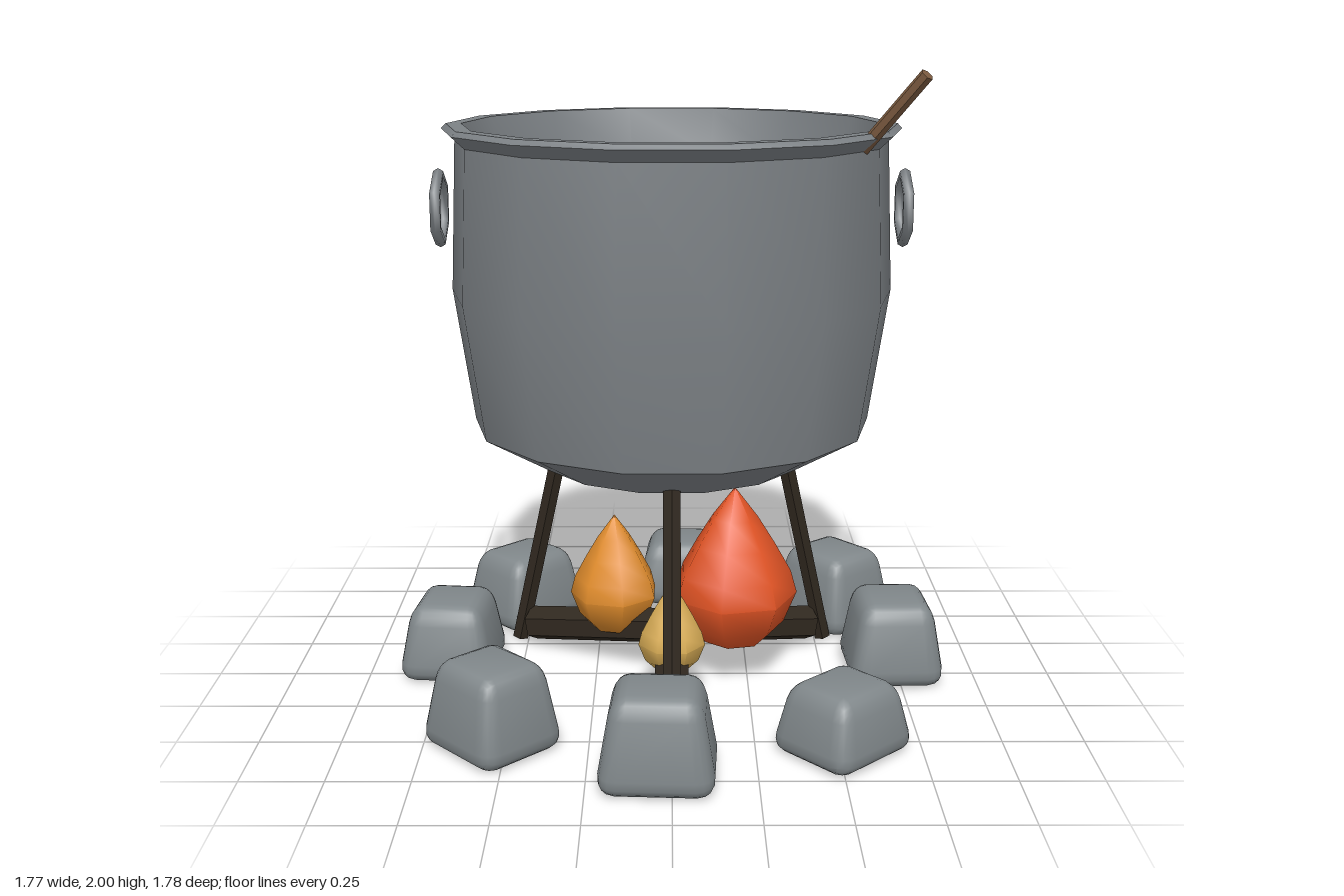
import * as THREE from 'three';
import { toCreasedNormals } from 'three/addons/utils/BufferGeometryUtils.js';
import { RoundedBoxGeometry } from 'three/addons/geometries/RoundedBoxGeometry.js';

const mat = (name, color) => {
  const m = new THREE.MeshStandardMaterial({ color });
  m.name = name;
  return m;
};

export function createModel() {
  const model = new THREE.Group();
  model.name = 'cauldronOverCampfire';
  const iron = mat('iron', 0x7c8185);
  const stone = mat('stone', 0x80878a);
  const broth = mat('broth', 0x8a8763);
  const tomato = mat('tomato', 0xb8443a);
  const wood = mat('spoon wood', 0x7c5b40);
  const bark = mat('charred wood', 0x30281f);
  const red = mat('red flame', 0xe25425);
  const orange = mat('orange flame', 0xe08c2c);
  const yellow = mat('yellow flame', 0xd8ac55);

  const add = (name, geometry, material, x = 0, y = 0, z = 0) => {
    const mesh = new THREE.Mesh(geometry, material);
    mesh.name = name;
    mesh.position.set(x, y, z);
    model.add(mesh);
    return mesh;
  };
  // Straight rod between two points
  const rod = (name, a, b, radius, sides, material) => {
    const from = new THREE.Vector3(...a), to = new THREE.Vector3(...b);
    const dir = to.clone().sub(from);
    const geo = new THREE.CylinderGeometry(radius, radius, dir.length(), sides);
    const mesh = add(name, toCreasedNormals(geo, 0.5), material);
    mesh.position.copy(from).add(to).multiplyScalar(0.5);
    mesh.quaternion.setFromUnitVectors(new THREE.Vector3(0, 1, 0), dir.normalize());
    return mesh;
  };
  const lathe = (profile, sides, crease, start = Math.PI / 2) => toCreasedNormals(
    new THREE.LatheGeometry(profile.map(([r, y]) => new THREE.Vector2(r, y)), sides, start), crease);

  // Pot with flared rim and inner wall
  add('pot', lathe([
    [0, 0.76], [0.42, 0.76], [0.625, 0.88], [0.687, 1.3], [0.667, 1.763],
    [0.707, 1.8], [0.692, 1.815], [0.645, 1.815], [0.605, 1.66],
  ], 14, 0.5), iron);

  // Broth surface with floating vegetables
  add('broth', new THREE.CircleGeometry(0.605, 28).rotateX(-Math.PI / 2), broth, 0, 1.69, 0);
  for (const [x, z] of [[0.165, -0.11], [-0.25, 0.08], [0, 0.285]]) {
    const geo = new THREE.SphereGeometry(0.075, 6, 4).rotateY(Math.PI / 2).scale(1, 0.6, 1);
    add('tomato', toCreasedNormals(geo, 0.4), tomato, x, 1.69, z);
  }

  // Spoon handle leaning on the rim
  rod('spoonHandle', [0.445, 1.628, 0.26], [0.705, 1.985, 0.457], 0.02, 6, wood);

  // Hexagonal ring handles
  for (const side of [-1, 1]) {
    const geo = new THREE.TorusGeometry(0.105, 0.018, 6, 6).rotateZ(Math.PI / 2).rotateY(Math.PI / 2);
    add('ringHandle', geo, iron, side * 0.72, 1.555, 0);
  }

  // Tripod legs and the three crossed logs
  for (const degrees of [90, 210, 330]) {
    const a = degrees * Math.PI / 180, c = Math.cos(a), s = Math.sin(a);
    rod('leg', [c * 0.61, 0.01, s * 0.61], [c * 0.41, 0.8, s * 0.41], 0.03, 6, bark);
    rod('log', [c * 0.55, 0.07, s * 0.55], [-c * 0.05, 0.18, -s * 0.05], 0.06, 6, bark);
  }

  // Teardrop flames: x, z, base, height, radius
  const flame = (name, x, z, base, height, radius, turn, material) => {
    const profile = [[0, 0], [0.5, 0.02], [0.8, 0.13], [1, 0.32], [0.9, 0.46],
      [0.64, 0.64], [0.37, 0.81], [0, 1]].map(([r, h]) => [r * radius, h * height]);
    add(name, lathe(profile, 7, 0.95), material, x, base, z).rotation.y = turn;
  };
  flame('largeFlame', 0.205, 0, 0.12, 0.53, 0.206, 0, red);
  flame('mediumFlame', -0.19, -0.11, 0.12, 0.4, 0.148, Math.PI, orange);
  flame('smallFlame', 0, 0.21, 0.11, 0.29, 0.108, Math.PI / 2, yellow);

  // Ring of tapered stones: x, z, height
  const stones = [
    [0.73, -0.03, 0.27], [0.58, -0.49, 0.27], [0.05, -0.735, 0.23], [-0.53, -0.53, 0.25],
    [-0.73, -0.07, 0.25], [-0.54, 0.52, 0.275], [-0.04, 0.73, 0.29], [0.51, 0.55, 0.22],
  ];
  for (const [x, z, h] of stones) {
    const geo = new RoundedBoxGeometry(0.355, h, 0.32, 2, 0.06);
    const p = geo.attributes.position;
    for (let i = 0; i < p.count; i++) {
      const k = 1 - 0.28 * (p.getY(i) / h + 0.5);
      p.setX(i, p.getX(i) * k);
      p.setZ(i, p.getZ(i) * k);
    }
    geo.deleteAttribute('uv');
    add('stone', toCreasedNormals(geo, 0.6), stone, x, h / 2, z).rotation.y = Math.atan2(x, z);
  }
  return model;
}
